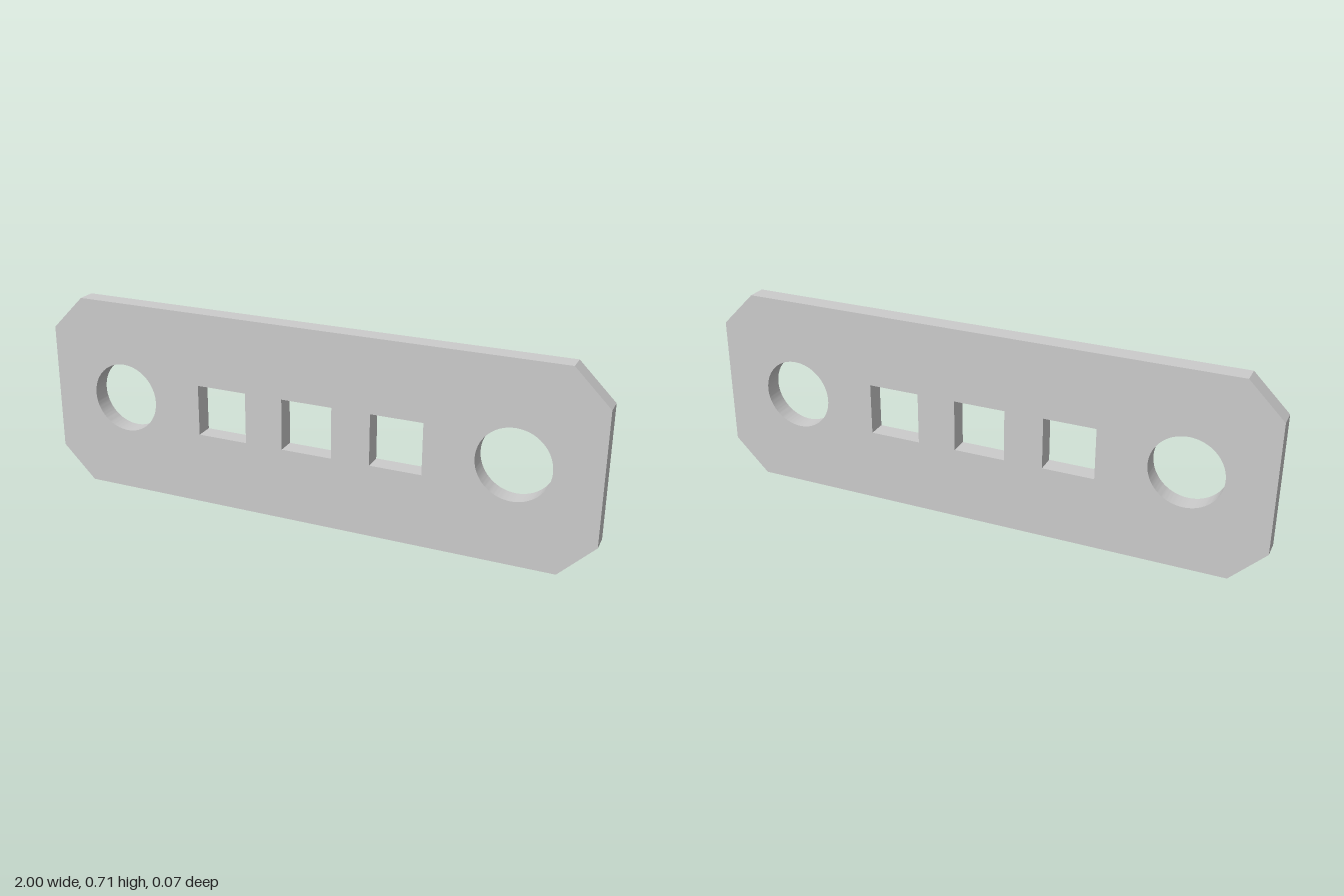
import * as THREE from 'three';
import { toCreasedNormals } from 'three/addons/utils/BufferGeometryUtils.js';

const HEIGHT = 0.706, DEPTH = 0.066, CHAMFER = 0.122;
const HOLE_X = 0.715, HOLE_RADIUS = 0.126;
const SLOT_PITCH = 0.322, SLOT_SIZE = 0.184;

const polygon = (PathType, points) =>
  new PathType(points.map(([x, y]) => new THREE.Vector2(x, y))).closePath();

export function createModel() {
  const group = new THREE.Group();
  const h = HEIGHT / 2, c = CHAMFER, s = SLOT_SIZE / 2;

  // Plate outline with clipped corners
  const outline = polygon(THREE.Shape, [
    [-1 + c, -h], [1 - c, -h], [1, -h + c], [1, h - c],
    [1 - c, h], [-1 + c, h], [-1, h - c], [-1, -h + c],
  ]);

  // Round hole near each end
  for (const side of [-1, 1]) {
    outline.holes.push(new THREE.Path().absarc(side * HOLE_X, 0, HOLE_RADIUS, 0, Math.PI * 2, true));
  }

  // Three square holes along the middle
  for (const i of [-1, 0, 1]) {
    const x = i * SLOT_PITCH;
    outline.holes.push(polygon(THREE.Path, [[x - s, -s], [x - s, s], [x + s, s], [x + s, -s]]));
  }

  const geometry = new THREE.ExtrudeGeometry(outline, { depth: DEPTH, bevelEnabled: false, curveSegments: 64 });
  geometry.translate(0, h, -DEPTH / 2);

  const plate = new THREE.Mesh(
    toCreasedNormals(geometry, 0.5),
    new THREE.MeshStandardMaterial({ color: 0xcccccc }),
  );
  plate.name = 'perforatedPlate';
  group.add(plate);
  return group;
}
